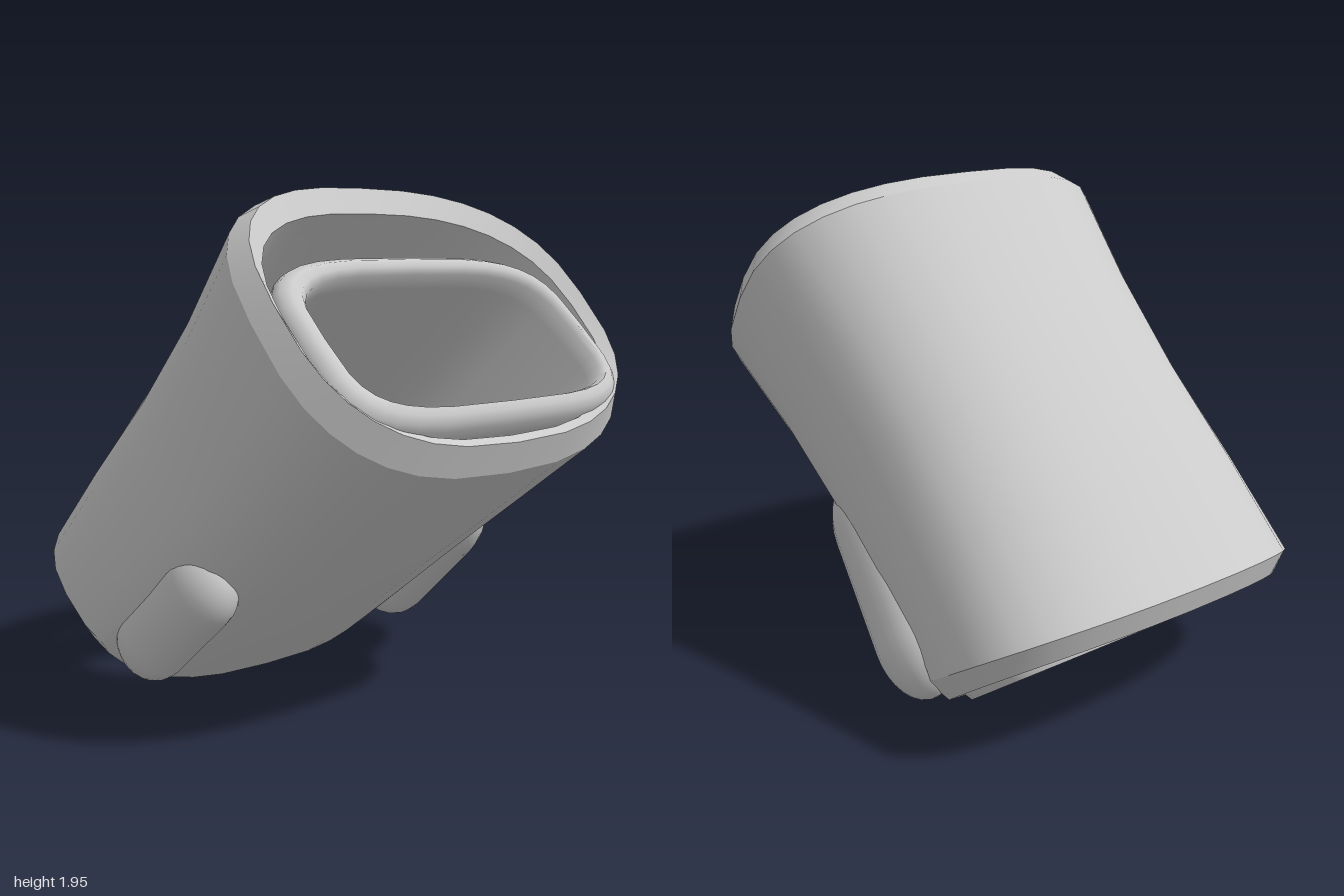
import * as THREE from 'three';
import { toCreasedNormals } from 'three/addons/utils/BufferGeometryUtils.js';

const SEGMENTS = 32;

// One cross-section: upper point and lower point in the xy plane, front and back z,
// and how far its sides bow along the tilted axis.
const section = (ux, uy, lx, ly, zFront, zBack, bow = 0) => ({ ux, uy, lx, ly, zFront, zBack, bow });

// Closed loft: sections run up the outside, over the lip and back down the inside.
// The two powers set how square the upper and lower halves are.
function loft(sections, upperPower, lowerPower, crease) {
  const points = [], index = [];
  const round = (v, power) => Math.sign(v) * Math.abs(v) ** (2 / power);
  for (const s of sections) {
    for (let i = 0; i < SEGMENTS; i++) {
      const a = (i / SEGMENTS) * Math.PI * 2;
      const power = Math.cos(a) < 0 ? upperPower : lowerPower;
      const u = round(Math.cos(a), power), w = round(Math.sin(a), power);
      const shift = s.bow * w * w * Math.SQRT1_2;
      points.push(
        (s.ux + s.lx) / 2 + (u * (s.lx - s.ux)) / 2 + shift,
        (s.uy + s.ly) / 2 + (u * (s.ly - s.uy)) / 2 + shift,
        (s.zFront + s.zBack) / 2 + (w * (s.zFront - s.zBack)) / 2
      );
    }
  }
  for (let j = 0; j < sections.length; j++) {
    const next = (j + 1) % sections.length;
    for (let i = 0; i < SEGMENTS; i++) {
      const k = (i + 1) % SEGMENTS;
      const a = j * SEGMENTS + i, b = next * SEGMENTS + i;
      const c = next * SEGMENTS + k, d = j * SEGMENTS + k;
      index.push(a, b, d, b, c, d);
    }
  }
  const geometry = new THREE.BufferGeometry();
  geometry.setAttribute('position', new THREE.Float32BufferAttribute(points, 3));
  geometry.setIndex(index);
  return toCreasedNormals(geometry, crease);
}

export function createModel() {
  const group = new THREE.Group();
  group.name = 'tiltedSleeve';
  const grey = new THREE.MeshStandardMaterial({ color: 0xcccccc });
  grey.name = 'light grey';

  const add = (name, geometry) => {
    const mesh = new THREE.Mesh(geometry, grey);
    mesh.name = name;
    group.add(mesh);
    return mesh;
  };

  // Outer sleeve, waisted in the middle, with bevelled lips
  add('outerSleeve', loft([
    section(-1.0, 0.65, -0.17, 0.06, 0.83, -0.67, 0.02),
    section(-0.72, 0.97, 0.11, 0.28, 0.79, -0.68, 0.02),
    section(-0.44, 1.285, 0.39, 0.51, 0.735, -0.7, 0.03),
    section(-0.16, 1.6, 0.68, 0.745, 0.72, -0.75, 0.04),
    section(0.12, 1.92, 0.96, 0.98, 0.745, -0.835, 0.06),
    section(0.2, 1.945, 1.0, 1.09, 0.7, -0.79, 0.055),
    section(0.25, 1.85, 0.97, 1.11, 0.66, -0.74, 0.04),
    section(-0.36, 1.2, 0.32, 0.55, 0.65, -0.63),
    section(-0.8, 0.5, -0.26, 0.09, 0.71, -0.55, 0.02),
    section(-0.83, 0.46, -0.29, 0.04, 0.72, -0.56, 0.02),
    section(-0.97, 0.55, -0.25, 0.0, 0.77, -0.61, 0.02),
  ], 2.45, 2.9, 0.5));

  // Inner tube with a rounded lip at each end
  add('innerTube', loft([
    section(-0.78, 0.46, -0.29, 0.09, 0.69, -0.54),
    section(-0.18, 1.08, 0.36, 0.6, 0.6, -0.6),
    section(0.35, 1.63, 0.94, 1.11, 0.62, -0.73),
    section(0.39, 1.675, 0.965, 1.145, 0.63, -0.735),
    section(0.42, 1.69, 0.975, 1.17, 0.62, -0.725),
    section(0.455, 1.685, 0.975, 1.2, 0.59, -0.7),
    section(0.475, 1.66, 0.96, 1.225, 0.555, -0.675),
    section(0.47, 1.63, 0.94, 1.22, 0.535, -0.655),
    section(0.42, 1.58, 0.9, 1.18, 0.525, -0.64),
    section(-0.13, 1.02, 0.31, 0.63, 0.52, -0.52),
    section(-0.72, 0.4, -0.35, 0.11, 0.6, -0.46),
    section(-0.78, 0.4, -0.34, 0.05, 0.65, -0.5),
  ], 3.8, 4.2, 1.0));

  // Long soft bulges on both sides, thickest near the lower end
  const bulges = [
    ['frontBulge', -0.06, 0.38, 0.635, 0.36, 0.17, 0.13, 0.1],
    ['backBulge', -0.03, 0.47, -0.57, 0.47, 0.2, 0.14, -0.08],
  ];
  for (const [name, x, y, z, length, width, depth, lean] of bulges) {
    const bulge = add(name, new THREE.CapsuleGeometry(1, 2, 8, 24));
    bulge.scale.set(width, length / 2, depth);
    bulge.rotation.set(-lean, 0, 0.74 - Math.PI / 2, 'ZXY');
    bulge.position.set(x, y, z);
  }
  return group;
}
